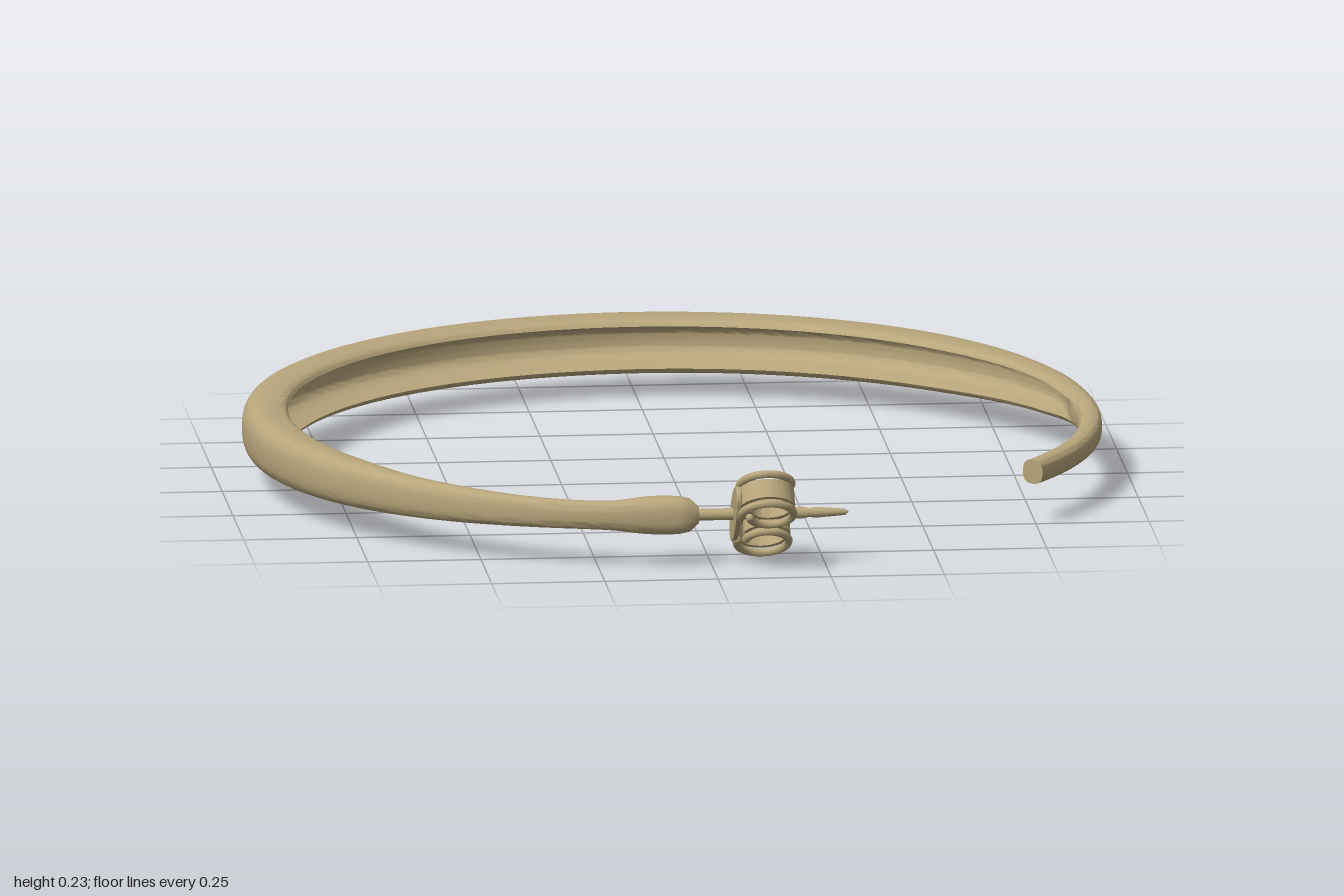
import * as THREE from 'three';
import { toCreasedNormals } from 'three/addons/utils/BufferGeometryUtils.js';

const material = new THREE.MeshStandardMaterial({ color: 0xb8a67c });
const Y = 0.125; // mid height of the hoop
const CZ = -0.055; // hoop centre in z

// Hoop sections: angle, outer radius, radial thickness, half height, groove amount
const KEYS = [
  [-36, 0.945, 0.05, 0.027, 0],
  [-15, 0.945, 0.05, 0.028, 0],
  [2, 0.945, 0.056, 0.034, 0],
  [18, 0.945, 0.078, 0.046, 1],
  [43, 0.945, 0.122, 0.058, 1],
  [90, 0.945, 0.14, 0.063, 1],
  [135, 0.945, 0.125, 0.063, 1],
  [180, 0.947, 0.102, 0.06, 1],
  [212, 0.949, 0.077, 0.052, 1],
  [232, 0.951, 0.055, 0.041, 0],
  [246, 0.953, 0.045, 0.033, 0],
  [256, 0.952, 0.052, 0.032, 0],
  [261, 0.948, 0.066, 0.041, 0],
  [265.5, 0.945, 0.066, 0.041, 0],
  [267.5, 0.938, 0.052, 0.032, 0],
  [268.2, 0.927, 0.03, 0.018, 0],
];

function sampleKeys(deg) {
  let i = 0;
  while (i < KEYS.length - 2 && deg > KEYS[i + 1][0]) i++;
  const [a, b] = [KEYS[i], KEYS[i + 1]];
  const p = KEYS[Math.max(i - 1, 0)], n = KEYS[Math.min(i + 2, KEYS.length - 1)];
  const h = b[0] - a[0], t = (deg - a[0]) / h;
  return a.slice(1).map((v0, k) => {
    const v1 = b[k + 1];
    if (k === 3) return THREE.MathUtils.lerp(v0, v1, t * t * (3 - 2 * t));
    const m0 = ((v1 - p[k + 1]) / (b[0] - p[0])) * h;
    const m1 = ((n[k + 1] - v0) / (n[0] - a[0])) * h;
    return v0 * (2 * t ** 3 - 3 * t * t + 1) + m0 * (t ** 3 - 2 * t * t + t)
      + v1 * (3 * t * t - 2 * t ** 3) + m1 * (t ** 3 - t * t);
  });
}

// Cross-section loop: u runs 0 (outer) to 1 (inner), v runs -1 to 1
function section(groove) {
  const loop = [];
  const pow = (x, e) => Math.sign(x) * Math.abs(x) ** e;
  for (let i = 0; i <= 16; i++) {
    const t = -Math.PI / 2 + (Math.PI * i) / 16;
    loop.push([0.5 - 0.5 * pow(Math.max(Math.cos(t), 0), 0.75), pow(Math.sin(t), 0.75)]);
  }
  const e = 0.75 - 0.35 * groove;
  const inner = (t) => [0.5 + 0.5 * Math.cos(t) ** e, pow(Math.sin(t), e)];
  const edge = Math.PI / 6;
  for (let i = 1; i <= 5; i++) loop.push(inner(Math.PI / 2 - ((Math.PI / 2 - edge) * i) / 5));
  const [ue, ve] = inner(edge);
  for (let i = 1; i < 16; i++) {
    const s = 1 - i / 8;
    const plain = ue + (1 - ue) * (1 - s * s);
    const dent = ue - 0.62 * (1 - s ** 4);
    loop.push([THREE.MathUtils.lerp(plain, dent, groove), ve * s]);
  }
  for (let i = 5; i >= 1; i--) {
    const [u, v] = inner(Math.PI / 2 - ((Math.PI / 2 - edge) * i) / 5);
    loop.push([u, -v]);
  }
  return loop;
}

function hoopGeometry() {
  const pos = [], index = [];
  const start = KEYS[0][0], end = KEYS[KEYS.length - 1][0], rows = 240;
  let M = 0;
  for (let i = 0; i <= rows; i++) {
    const deg = start + ((end - start) * i) / rows;
    const [R, thick, half, groove] = sampleKeys(deg);
    const a = THREE.MathUtils.degToRad(deg);
    const loop = section(groove);
    M = loop.length;
    for (const [u, v] of loop) {
      const r = R - u * thick;
      pos.push(r * Math.cos(a), Y + v * half, CZ - r * Math.sin(a));
    }
  }
  for (let i = 0; i < rows; i++) {
    for (let j = 0; j < M; j++) {
      const a = i * M + j, c = i * M + ((j + 1) % M);
      index.push(a, a + M, c, c, a + M, c + M);
    }
  }
  // End caps
  for (const row of [0, rows]) {
    const base = row * M, centre = pos.length / 3, mid = [0, 0, 0];
    for (let j = 0; j < M * 3; j++) mid[j % 3] += pos[base * 3 + j] / M;
    pos.push(...mid);
    for (let j = 0; j < M; j++) {
      const a = base + j, b = base + ((j + 1) % M);
      index.push(centre, ...(row ? [b, a] : [a, b]));
    }
  }
  const geo = new THREE.BufferGeometry();
  geo.setAttribute('position', new THREE.Float32BufferAttribute(pos, 3));
  geo.setIndex(index);
  return toCreasedNormals(geo, 0.7);
}

function addMesh(parent, name, geometry) {
  const mesh = new THREE.Mesh(geometry, material);
  mesh.name = name;
  parent.add(mesh);
  return mesh;
}

// Scroll path in the clutch's x-z plane, curling inward
function scrollPoint(t, offset = 0) {
  const a = Math.PI * (1.05 - 1.95 * t);
  const r = 0.06 - 0.018 * t * t + offset;
  return [r * Math.cos(a), 0.067 + r * Math.sin(a)];
}

function clutch() {
  const group = new THREE.Group();
  group.name = 'clutch';

  // Oval plate facing the hoop
  const oval = new THREE.Shape().absellipse(0, 0, 0.1, 0.043, 0, Math.PI * 2);
  const plate = new THREE.ExtrudeGeometry(oval, {
    depth: 0.006, bevelSize: 0.003, bevelThickness: 0.003, bevelSegments: 2, curveSegments: 32,
  });
  plate.rotateY(Math.PI / 2).translate(-0.068, 0, 0);
  addMesh(group, 'clutchPlate', plate);

  // Curled band with a wire along each edge
  const N = 40, outer = [], inner = [], path = [];
  for (let i = 0; i <= N; i++) {
    outer.push(new THREE.Vector2(...scrollPoint(i / N, 0.005)));
    inner.unshift(new THREE.Vector2(...scrollPoint(i / N, -0.005)));
    const [x, z] = scrollPoint(i / N);
    path.push(new THREE.Vector3(x, 0, z));
  }
  const band = new THREE.ExtrudeGeometry(new THREE.Shape([...outer, ...inner]), {
    depth: 0.044, bevelEnabled: false,
  });
  band.rotateX(Math.PI / 2).translate(0, 0.022, 0);
  const bandSmooth = toCreasedNormals(band, 0.6);
  const wire = new THREE.TubeGeometry(new THREE.CatmullRomCurve3(path), 60, 0.009, 8);
  const tip = new THREE.SphereGeometry(0.009, 10, 8);
  for (const turn of [0, Math.PI]) {
    const scroll = new THREE.Group();
    scroll.name = turn ? 'backScroll' : 'frontScroll';
    scroll.rotation.x = turn;
    addMesh(scroll, 'scrollBand', bandSmooth);
    for (const y of [-0.036, 0.036]) {
      addMesh(scroll, 'scrollWire', wire).position.y = y;
      for (const p of [path[0], path[N]]) {
        addMesh(scroll, 'wireTip', tip).position.set(p.x, y, p.z);
      }
    }
    group.add(scroll);
  }
  group.position.set(0.118, Y, 0.855);
  group.rotation.x = -0.656;
  return group;
}

export function createModel() {
  const model = new THREE.Group();
  model.name = 'hoopEarring';
  addMesh(model, 'hoop', hoopGeometry());

  // Post with a tapered point
  const profile = [[0, -0.06], [0.013, -0.06], [0.013, 0.2], [0.01, 0.215], [0.012, 0.23], [0.007, 0.295], [0, 0.303]];
  const post = new THREE.LatheGeometry(profile.map(([r, h]) => new THREE.Vector2(r, h)), 20);
  post.rotateZ(-Math.PI / 2).translate(0, Y, 0.855);
  addMesh(model, 'post', post);

  model.add(clutch());
  return model;
}
